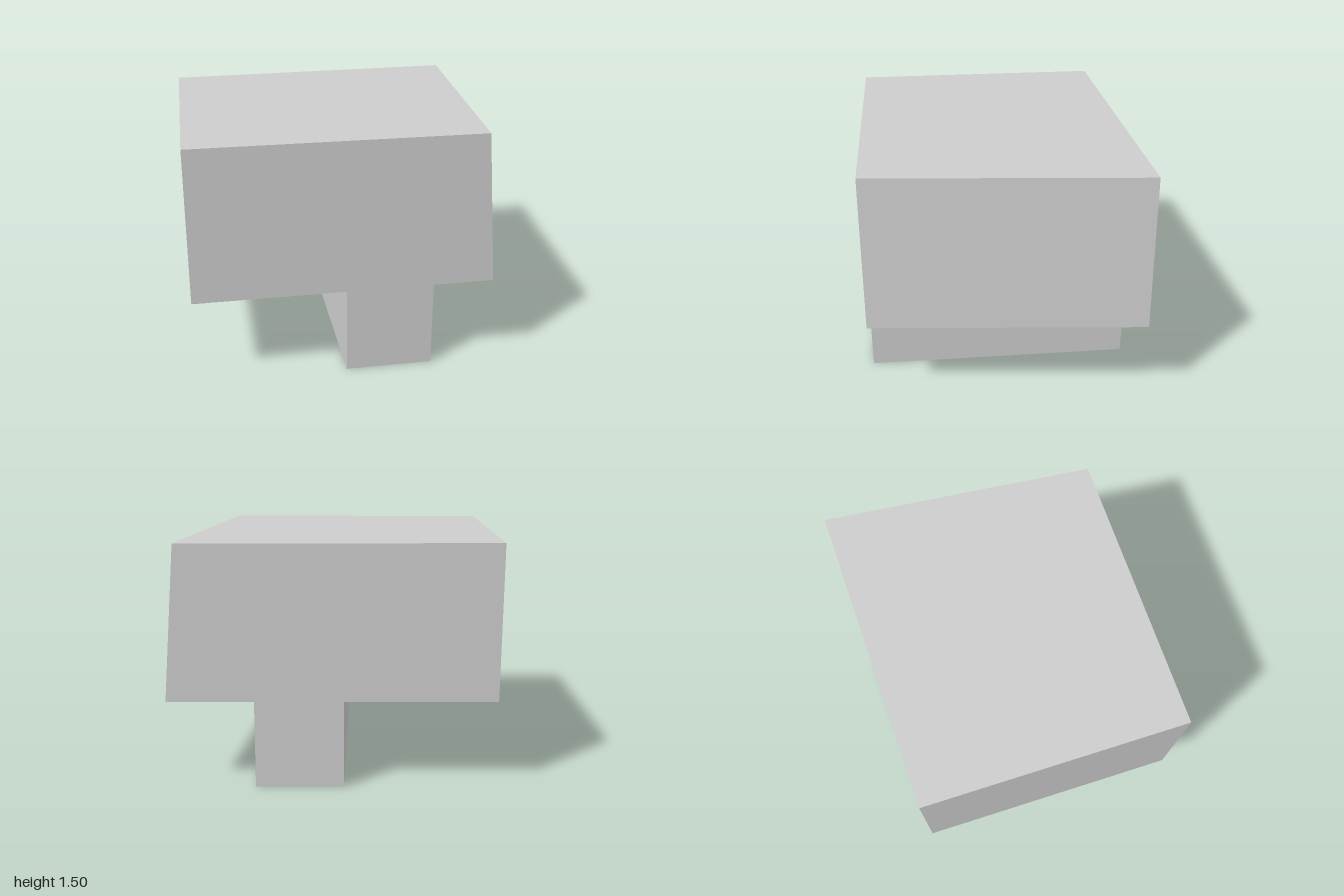
import * as THREE from 'three';

export function createModel() {
  const group = new THREE.Group();
  group.name = 'taperedBlockOnRail';

  const grey = new THREE.MeshStandardMaterial({ color: 0xcccccc });
  grey.name = 'lightGrey';

  // T-shaped cross-section: wide block above, narrow rail below
  const profile = new THREE.Shape([
    [-0.07, 0], [0.47, 0], [0.47, 0.545], [0.85, 0.545],
    [0.77, 1.5], [-1, 1.5], [-1, 0.545], [-0.07, 0.545],
  ].map(([x, y]) => new THREE.Vector2(x, y)));

  const geometry = new THREE.ExtrudeGeometry(profile, { depth: 1, bevelEnabled: false });

  // Flare the slanted right wall towards the back and skew the back face
  const pos = geometry.attributes.position;
  for (let i = 0; i < pos.count; i++) {
    let x = pos.getX(i);
    const y = pos.getY(i);
    const isBack = pos.getZ(i) < 0.5;
    if (isBack && x > 0.6) x += 0.15;
    const backZ = -0.85 - 0.0365 * (x - 0.92) - 0.0085 * (y - 1.5);
    pos.setXYZ(i, x, y, isBack ? backZ : 0.85);
  }
  geometry.computeVertexNormals();

  const block = new THREE.Mesh(geometry, grey);
  block.name = 'blockWithRail';
  group.add(block);
  return group;
}
